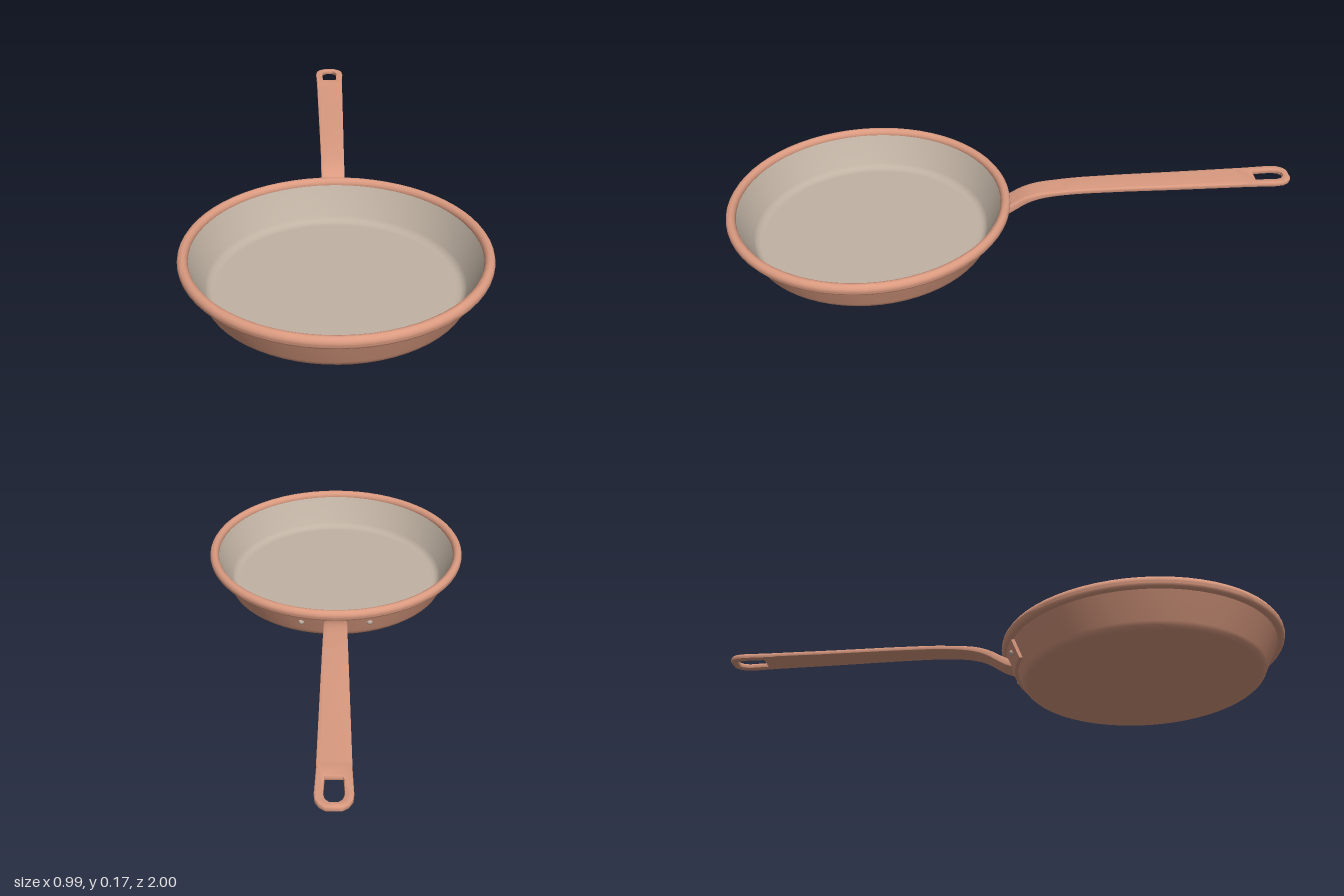
import * as THREE from 'three';
import { toCreasedNormals } from 'three/addons/utils/BufferGeometryUtils.js';

const PAN_Z = 0.505;
const wallRadius = (y) => 0.425 + (y - 0.02) * 0.45;

function lathe(points) {
  const profile = points.map(([r, y]) => new THREE.Vector2(r, y));
  return toCreasedNormals(new THREE.LatheGeometry(profile, 64), 0.6);
}

// Moves every vertex of a geometry by a rule and refreshes its normals
function reshape(geometry, rule) {
  const p = geometry.attributes.position;
  const v = new THREE.Vector3();
  for (let i = 0; i < p.count; i++) {
    v.fromBufferAttribute(p, i);
    rule(v);
    p.setXYZ(i, v.x, v.y, v.z);
  }
  return toCreasedNormals(geometry, 0.6);
}

function roundedRect(w, h, r) {
  const s = new THREE.Shape();
  s.absarc(w - r, h - r, r, 0, Math.PI / 2);
  s.absarc(r - w, h - r, r, Math.PI / 2, Math.PI);
  s.absarc(r - w, r - h, r, Math.PI, Math.PI * 1.5);
  s.absarc(w - r, r - h, r, Math.PI * 1.5, Math.PI * 2);
  return s;
}

export function createModel() {
  const copper = new THREE.MeshStandardMaterial({ color: 0xda9a80 });
  copper.name = 'copper';
  const tin = new THREE.MeshStandardMaterial({ color: 0xc1b3a4 });
  tin.name = 'tin lining';

  const model = new THREE.Group();
  model.name = 'fryingPan';
  const add = (name, geometry, material, parent = model) => {
    const mesh = new THREE.Mesh(geometry, material);
    mesh.name = name;
    parent.add(mesh);
    return mesh;
  };

  // Pan: outer shell, lining and rolled rim
  const pan = new THREE.Group();
  pan.name = 'pan';
  pan.position.z = PAN_Z;
  model.add(pan);
  add('outerShell', lathe([[0, 0], [0.385, 0], [0.4, 0], [0.413, 0.003], [0.421, 0.01],
    [0.427, 0.022], [wallRadius(0.12), 0.12]]), copper, pan);
  add('lining', lathe([[0.467, 0.138], [0.415, 0.03], [0.407, 0.018],
    [0.395, 0.012], [0.38, 0.012], [0, 0.012]]), tin, pan);
  const rimProfile = [];
  for (let i = 0; i <= 14; i++) {
    const a = (i / 14) * Math.PI * 2;
    rimProfile.push([0.479 + 0.017 * Math.cos(a), 0.129 + 0.02 * Math.sin(a)]);
  }
  add('rim', lathe(rimProfile), copper, pan);

  // Mounting plate, wrapped around the back of the sloping wall
  add('mountingPlate', reshape(new THREE.BoxGeometry(0.33, 0.07, 0.014, 16, 1, 1), (v) => {
    const y = v.y + 0.08;
    const r = wallRadius(y) + 0.006 - v.z;
    const a = v.x / 0.45;
    v.set(Math.sin(a) * r, y, PAN_Z - Math.cos(a) * r);
  }), copper);

  // Rivets on both ends of the plate
  for (const side of [-1, 1]) {
    const rivet = add('rivet', new THREE.SphereGeometry(0.011, 12, 8), tin);
    const a = side * 0.27;
    const r = wallRadius(0.082) + 0.011;
    rivet.position.set(Math.sin(a) * r, 0.082, PAN_Z - Math.cos(a) * r);
  }

  // Handle arm: rounded bar swept along a side curve, widening to the tip
  const curve = new THREE.CatmullRomCurve3([
    [0.051, 0.08], [0.03, 0.087], [0, 0.104], [-0.04, 0.128], [-0.09, 0.145],
    [-0.2, 0.157], [-0.35, 0.16], [-0.6, 0.159], [-0.83, 0.159],
  ].map(([z, y]) => new THREE.Vector3(0, y, z)));
  const bar = new THREE.ExtrudeGeometry(roundedRect(1, 1, 0.3),
    { depth: 1, steps: 40, bevelEnabled: false, curveSegments: 4 });
  add('handleArm', reshape(bar, (v) => {
    const c = curve.getPointAt(v.z);
    const t = curve.getTangentAt(v.z);
    const rootBlend = Math.max(0, 1 - v.z / 0.25);
    const half = 0.039 + 0.014 * v.z + 0.004 * rootBlend * rootBlend;
    const thick = v.y * (0.009 + 0.007 * rootBlend);
    // the bar runs towards -z, so x is mirrored to keep faces outward
    v.set(-v.x * half, c.y - t.z * thick, c.z + t.y * thick);
  }), copper);

  // Handle tip with its hanging hole; its start is buried in the arm
  const b = 0.005;
  const tip = new THREE.Shape([
    [-0.052, 0.81], [0.052, 0.81], [0.057, 0.94], [0.054, 0.968], [0.042, 0.988],
    [0.024, 1], [-0.024, 1], [-0.042, 0.988], [-0.054, 0.968], [-0.057, 0.94],
  ].map(([x, y]) => new THREE.Vector2(x, y)));
  tip.holes.push(new THREE.Path([
    [-0.027, 0.873], [-0.03, 0.945], [-0.024, 0.965], [-0.012, 0.976],
    [0.012, 0.976], [0.024, 0.965], [0.03, 0.945], [0.027, 0.873],
  ].map(([x, y]) => new THREE.Vector2(x, y))));
  const tipGeometry = new THREE.ExtrudeGeometry(tip, {
    depth: 0.018 - 2 * b, bevelThickness: b, bevelSize: b, bevelOffset: -b, bevelSegments: 2,
  });
  tipGeometry.rotateX(-Math.PI / 2);
  tipGeometry.translate(0, 0.15 + b, 0);
  add('handleTip', toCreasedNormals(tipGeometry, 0.6), copper);

  return model;
}
